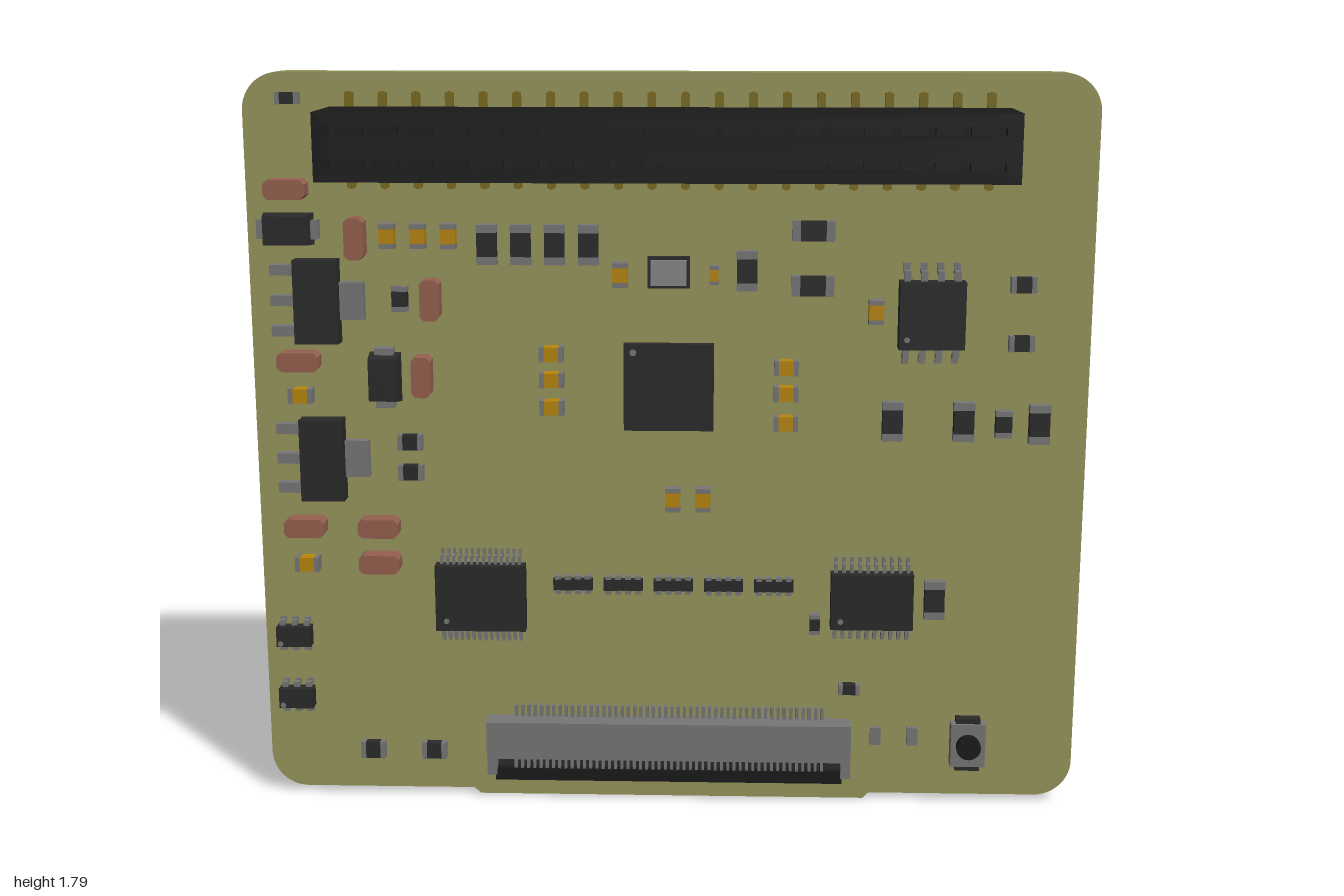
import * as THREE from 'three';

const FACE = 0.04; // half thickness of the board
const mats = {};
const mat = (c) => (mats[c] ??= new THREE.MeshStandardMaterial({ color: c, flatShading: true }));
const OLIVE = 0x96965c, BLACK = 0x1a1a1a, DARK = 0x2a2a2a, METAL = 0x777777,
  LIGHT = 0xcccccc, GOLD = 0xb8860b, BROWN = 0x96604f, BRASS = 0x7a6a1c;

function mesh(parent, name, geo, color, x = 0, y = 0, z = 0) {
  const m = new THREE.Mesh(geo, mat(color));
  m.name = name;
  m.position.set(x, y, z);
  parent.add(m);
  return m;
}

// Box placed by centre x, y and its z range
function box(parent, name, color, x, y, w, h, z0, z1) {
  return mesh(parent, name, new THREE.BoxGeometry(w, h, z1 - z0), color, x, y, (z0 + z1) / 2);
}

function group(parent, name, x, y) {
  const g = new THREE.Group();
  g.name = name;
  g.position.set(x, y, FACE);
  parent.add(g);
  return g;
}

// Two-terminal part: coloured middle with metal ends along its length
function chip(parent, name, color, x, y, len, wid, tall, vertical, endColor = METAL) {
  const g = group(parent, name, x, y);
  const end = len * 0.2;
  box(g, 'body', color, 0, 0, len - 2 * end, wid * 0.97, 0, tall);
  for (const s of [-1, 1]) box(g, 'terminal', endColor, s * (len - end) / 2, 0, end, wid, 0, tall);
  if (vertical) g.rotation.z = Math.PI / 2;
  return g;
}

// Eight-sided moulded capacitor
function mouldedCap(parent, x, y, vertical) {
  const g = group(parent, 'mouldedCapacitor', x, y);
  const a = 0.049, b = 0.023, c = 0.01;
  const s = new THREE.Shape([[a, -b + c], [a, b - c], [a - c, b], [c - a, b], [-a, b - c], [-a, c - b], [c - a, -b], [a - c, -b]]
    .map(([u, v]) => new THREE.Vector2(u, v)));
  mesh(g, 'body', new THREE.ExtrudeGeometry(s, { depth: 0.05, bevelEnabled: false }), BROWN);
  if (vertical) g.rotation.z = Math.PI / 2;
}

// Diode with a tapered case and metal feet
function diode(parent, x, y, vertical) {
  const g = group(parent, 'diode', x, y);
  const geo = new THREE.BoxGeometry(0.12, 0.075, 0.055);
  const p = geo.attributes.position;
  for (let i = 0; i < p.count; i++) if (p.getZ(i) > 0) p.setXY(i, p.getX(i) * 0.85, p.getY(i) * 0.9);
  mesh(g, 'case', geo, DARK, 0, 0, 0.0325);
  for (const s of [-1, 1]) box(g, 'foot', METAL, s * 0.06, 0, 0.025, 0.045, 0, 0.03);
  if (vertical) g.rotation.z = Math.PI / 2;
}

// Chip with bent legs along its top and bottom edges
function legChip(parent, name, x, y, w, h, reach, n, span, legW, tall) {
  const g = group(parent, name, x, y);
  box(g, 'case', DARK, 0, 0, w, h, 0.006, tall);
  for (let i = 0; i < n; i++) {
    const lx = -span / 2 + (span * i) / (n - 1);
    for (const s of [-1, 1]) {
      const out = reach - h / 2;
      box(g, 'legTop', METAL, lx, s * (h / 2 + out * 0.25), legW, out * 0.5, tall * 0.45, tall * 0.6);
      box(g, 'legDrop', METAL, lx, s * (h / 2 + out * 0.5), legW, 0.008, 0, tall * 0.6);
      box(g, 'legFoot', METAL, lx, s * (h / 2 + out * 0.75), legW, out * 0.5, 0, 0.008);
    }
  }
  mesh(g, 'pinOneDot', new THREE.CylinderGeometry(0.007, 0.007, 0.002, 12).rotateX(Math.PI / 2), METAL, -w * 0.38, -h * 0.35, tall);
}

// Voltage regulator with a wide tab and three legs
function regulator(parent, x, y) {
  const g = group(parent, 'regulator', x, y);
  box(g, 'case', DARK, 0, 0, 0.105, 0.2, 0.006, 0.052);
  box(g, 'tab', METAL, 0.08, 0, 0.06, 0.09, 0, 0.025);
  for (const ly of [-0.073, 0, 0.073]) {
    box(g, 'legTop', METAL, -0.062, ly, 0.02, 0.025, 0.02, 0.03);
    box(g, 'legFoot', METAL, -0.09, ly, 0.045, 0.025, 0, 0.025);
  }
}

// Two-row pin socket, holes facing away from the board
function header(parent, name) {
  const g = group(parent, name, 0, 1.633);
  const W = 0.79, H = 0.078;
  box(g, 'housing', BLACK, 0, 0, 2 * W, 2 * H, 0.018, 0.21);
  const plate = new THREE.Shape([[-W, -H], [W, -H], [W, H], [-W, H]].map(([u, v]) => new THREE.Vector2(u, v)));
  for (let i = 0; i < 20; i++) {
    const x = -0.746 + i * 0.0785;
    for (const s of [-1, 1]) {
      const y = s * 0.039, r = 0.009;
      plate.holes.push(new THREE.Path([[x - r, y - r], [x - r, y + r], [x + r, y + r], [x + r, y - r]]
        .map(([u, v]) => new THREE.Vector2(u, v))));
      box(g, 'pinFoot', BRASS, x, s * 0.075, 0.02, 0.07, 0.002, 0.014);
      mesh(g, 'pinTip', new THREE.CylinderGeometry(0.01, 0.01, 0.012, 8).rotateX(Math.PI / 2), BRASS, x, s * 0.104, 0.008);
      box(g, 'pinStem', BRASS, x, s * 0.045, 0.018, 0.018, 0.002, 0.02);
    }
  }
  mesh(g, 'socketFace', new THREE.ExtrudeGeometry(plate, { depth: 0.02, bevelEnabled: false }), BLACK, 0, 0, 0.21);
}

export function createModel() {
  const model = new THREE.Group();
  model.name = 'circuitBoard';
  const front = new THREE.Group(), back = new THREE.Group();
  front.name = 'frontParts';
  back.name = 'backParts';
  back.rotation.y = Math.PI;
  model.add(front, back);

  // Board with rounded corners and a shallow tongue below
  const b = 0.015, t = 1.79, r = 0.09;
  const s = new THREE.Shape();
  s.moveTo(-1 + r, b).lineTo(-0.49, b).lineTo(-0.475, 0).lineTo(0.485, 0).lineTo(0.5, b).lineTo(1 - r, b);
  s.absarc(1 - r, b + r, r, -Math.PI / 2, 0);
  s.absarc(1 - r, t - r, r, 0, Math.PI / 2);
  s.absarc(-1 + r, t - r, r, Math.PI / 2, Math.PI);
  s.absarc(-1 + r, b + r, r, Math.PI, Math.PI * 1.5);
  mesh(model, 'board', new THREE.ExtrudeGeometry(s, { depth: 2 * FACE, bevelEnabled: false, curveSegments: 8 }), OLIVE, 0, 0, -FACE);

  header(front, 'frontHeader');
  header(back, 'backHeader');

  // Resistors: x, y, length, width, vertical
  for (const [x, y, l, w, v] of [
    [-0.89, 1.73, 0.055, 0.028, 0], [0.185, 1.33, 0.095, 0.05, 1], [0.34, 1.425, 0.1, 0.048, 0], [0.34, 1.295, 0.1, 0.048, 0],
    [0.835, 1.3, 0.06, 0.038, 0], [0.835, 1.16, 0.06, 0.038, 0], [-0.64, 1.26, 0.06, 0.038, 1],
    [-0.625, 0.91, 0.06, 0.038, 0], [-0.625, 0.835, 0.06, 0.038, 0], [0.535, 0.97, 0.095, 0.05, 1],
    [0.705, 0.97, 0.095, 0.05, 1], [0.8, 0.965, 0.065, 0.04, 1], [0.885, 0.965, 0.095, 0.05, 1],
    [0.358, 0.46, 0.05, 0.025, 1], [0.648, 0.525, 0.095, 0.05, 1], [-0.74, 0.12, 0.06, 0.042, 0],
    [-0.587, 0.12, 0.06, 0.042, 0], [0.445, 0.293, 0.052, 0.026, 0],
  ]) chip(front, 'resistor', DARK, x, y, l, w, 0.024, v);
  for (let i = 0; i < 4; i++) chip(front, 'resistor', DARK, -0.43 + i * 0.08, 1.39, 0.095, 0.048, 0.024, 1);

  // Small ceramic capacitors
  for (const [x, y, v] of [
    [-0.665, 1.41, 1], [-0.592, 1.41, 1], [-0.52, 1.41, 1], [-0.115, 1.32, 1], [0.49, 1.235, 1],
    [-0.885, 1.025, 0], [-0.885, 0.605, 0], [-0.28, 1.13, 0], [-0.28, 1.067, 0], [-0.28, 1, 0],
    [0.28, 1.1, 0], [0.28, 1.037, 0], [0.28, 0.965, 0], [0.01, 0.775, 1], [0.083, 0.775, 1],
  ]) chip(front, 'capacitor', GOLD, x, y, 0.058, 0.036, 0.035, v);
  chip(front, 'smallCapacitor', GOLD, 0.107, 1.32, 0.045, 0.022, 0.024, 1);
  for (const [x, y, v] of [
    [0.28, 1.115, 0], [0.28, 1.05, 0], [0.28, 0.985, 0], [-0.27, 1.055, 0], [-0.27, 0.99, 0], [0.085, 0.775, 1],
    [0.01, 0.775, 1], [-0.62, 1.05, 0], [-0.62, 0.975, 0], [-0.62, 0.9, 0], [-0.62, 0.825, 0], [-0.46, 0.52, 0],
  ]) chip(back, 'capacitor', GOLD, -x, y, 0.058, 0.036, 0.035, v, LIGHT);

  // Moulded capacitors, diodes, regulators
  for (const [x, y, v] of [
    [-0.9, 1.52, 0], [-0.74, 1.405, 1], [-0.565, 1.26, 1], [-0.885, 1.11, 0],
    [-0.59, 1.075, 1], [-0.885, 0.7, 0], [-0.705, 0.7, 0], [-0.705, 0.61, 0],
  ]) mouldedCap(front, x, y, v);
  diode(front, -0.9, 1.425, false);
  diode(front, -0.68, 1.07, true);
  regulator(front, -0.835, 1.255);
  regulator(front, -0.835, 0.87);

  // Resistor arrays
  function array(parent, x, y, vertical) {
    const g = group(parent, 'resistorArray', x, y);
    box(g, 'body', DARK, 0, 0, 0.096, 0.028, 0, 0.018);
    for (let i = 0; i < 4; i++) for (const k of [-1, 1]) box(g, 'contact', METAL, -0.036 + i * 0.024, k * 0.018, 0.014, 0.01, 0, 0.018);
    if (vertical) g.rotation.z = Math.PI / 2;
  }
  for (let i = 0; i < 5; i++) array(front, -0.235 + i * 0.123, 0.555, false);
  array(back, 0.01, 1.325, true);

  // Legged chips
  legChip(front, 'memoryChip', 0.62, 1.23, 0.155, 0.16, 0.12, 4, 0.118, 0.016, 0.055);
  legChip(front, 'leftDriverChip', -0.46, 0.525, 0.22, 0.165, 0.118, 14, 0.19, 0.007, 0.045);
  legChip(front, 'rightDriverChip', 0.495, 0.525, 0.2, 0.14, 0.105, 10, 0.176, 0.009, 0.045);
  for (const y of [0.42, 0.26]) legChip(front, 'sixLegChip', -0.925, y, 0.085, 0.05, 0.043, 3, 0.06, 0.014, 0.04);

  // Main processor and crystal
  const cpu = group(front, 'processor', 0, 1.05);
  box(cpu, 'case', DARK, 0, 0, 0.215, 0.21, 0, 0.026);
  mesh(cpu, 'pinOneDot', new THREE.CylinderGeometry(0.008, 0.008, 0.002, 12).rotateX(Math.PI / 2), METAL, -0.085, 0.085, 0.026);
  const crystal = group(front, 'crystal', 0, 1.325);
  box(crystal, 'base', DARK, 0, 0, 0.1, 0.075, 0, 0.015);
  box(crystal, 'lid', 0x888888, 0, 0, 0.085, 0.06, 0.015, 0.024);

  // Ribbon cable connector with contacts and hinged flap
  const con = group(front, 'ribbonConnector', 0, 0);
  box(con, 'housing', METAL, 0, 0.163, 0.9, 0.095, 0, 0.06);
  for (const k of [-1, 1]) box(con, 'endWall', METAL, k * 0.438, 0.1, 0.024, 0.06, 0, 0.05);
  box(con, 'slotFloor', DARK, 0, 0.095, 0.86, 0.05, 0, 0.025);
  box(con, 'flap', BLACK, 0, 0.07, 0.86, 0.03, 0.012, 0.045);
  for (let i = 0; i < 50; i++) {
    const x = -0.38 + (i * 0.76) / 49;
    box(con, 'solderLeg', METAL, x, 0.225, 0.008, 0.03, 0, 0.012);
    box(con, 'contact', METAL, x, 0.1, 0.007, 0.035, 0.02, 0.04);
  }

  // Push button and two bare pads beside it
  const button = group(front, 'pushButton', 0.74, 0.155);
  box(button, 'case', METAL, 0, 0, 0.085, 0.11, 0, 0.035);
  for (const k of [-1, 1]) box(button, 'clip', DARK, 0, k * 0.055, 0.06, 0.025, 0, 0.028);
  mesh(button, 'plunger', new THREE.CylinderGeometry(0.03, 0.03, 0.02, 20).rotateX(Math.PI / 2), BLACK, 0, 0, 0.043);
  for (const x of [0.513, 0.604]) box(front, 'pad', METAL, x, 0.17, 0.026, 0.045, FACE, FACE + 0.015);

  return model;
}
